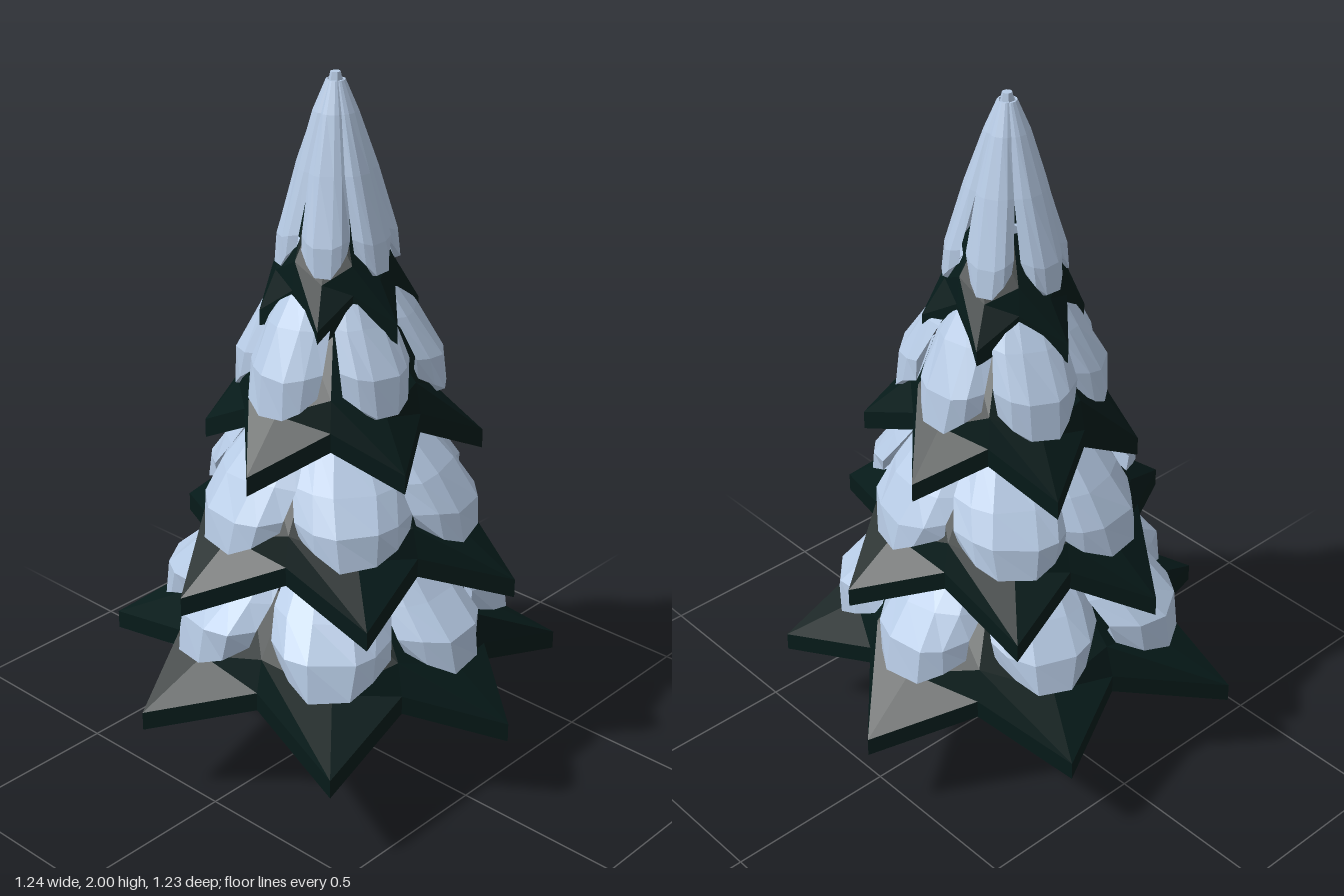
import * as THREE from 'three';

const needles = new THREE.MeshStandardMaterial({ color: 0x061a19 });
needles.name = 'dark green needles';
const snow = new THREE.MeshStandardMaterial({ color: 0xb6cae4 });
snow.name = 'pale blue snow';

// Tiers from bottom to top: tips [x, z], tip and valley heights,
// valley and inner radii, and the centre line [r, y] of the snow lobes
const TIERS = [
  {
    tips: [[-0.55, -0.265], [-0.1, -0.615], [0.415, -0.5], [0.62, -0.025], [0.44, 0.5], [-0.16, 0.615], [-0.62, 0.29]],
    tipY: 0.28, valley: [0.44, 0.37], inner: [0.28, 0.6],
    snow: [[0.46, 0.395], [0.49, 0.405], [0.475, 0.51], [0.395, 0.6], [0.285, 0.7], [0.14, 0.84]],
  },
  {
    tips: [[-0.4, -0.33], [0.09, -0.51], [0.52, -0.16], [0.41, 0.325], [-0.08, 0.53], [-0.51, 0.085]],
    tipY: 0.64, valley: [0.37, 0.74], inner: [0.23, 0.95],
    snow: [[0.38, 0.74], [0.405, 0.75], [0.395, 0.845], [0.33, 0.94], [0.235, 1.05], [0.1, 1.18]],
  },
  {
    tips: [[-0.36, -0.15], [-0.04, -0.38], [0.32, -0.25], [0.35, 0.11], [0.05, 0.4], [-0.29, 0.22]],
    tipY: 1.0, valley: [0.27, 1.1], inner: [0.14, 1.32],
    snow: [[0.27, 1.115], [0.292, 1.125], [0.28, 1.235], [0.21, 1.36], [0.145, 1.46], [0.06, 1.6]],
  },
  {
    tips: [[-0.235, 0.0], [-0.1, -0.2], [0.14, -0.18], [0.23, 0.01], [0.11, 0.19], [-0.11, 0.18]],
    tipY: 1.365, valley: [0.165, 1.445], inner: [0.08, 1.64],
    snow: [[0.155, 1.475], [0.17, 1.485], [0.163, 1.57], [0.11, 1.75], [0.06, 1.9], [0.026, 1.98]],
  },
];

let seed = 7;
const jitter = (size) => {
  seed = (seed * 16807) % 2147483647;
  return (seed / 2147483647 - 0.5) * 2 * size;
};

// Faceted surface through closed rings; either looped into a band or capped
function loft(rings, looped) {
  const pos = [];
  const tri = (...pts) => pts.forEach((p) => pos.push(...p));
  const n = rings[0].length;
  const count = looped ? rings.length : rings.length - 1;
  for (let j = 0; j < count; j++) {
    const lo = rings[j], hi = rings[(j + 1) % rings.length];
    for (let i = 0; i < n; i++) {
      const k = (i + 1) % n;
      tri(lo[i], hi[i], hi[k]);
      tri(lo[i], hi[k], lo[k]);
    }
  }
  if (!looped) {
    const first = rings[0], last = rings[rings.length - 1];
    for (let i = 1; i < n - 1; i++) {
      tri(first[0], first[i], first[i + 1]);
      tri(last[0], last[i + 1], last[i]);
    }
  }
  const geo = new THREE.BufferGeometry();
  geo.setAttribute('position', new THREE.Float32BufferAttribute(pos, 3));
  geo.computeVertexNormals();
  return geo;
}

// Star-shaped skirt of branches with a thick rim
function branchSkirt({ tips, tipY, valley: [rv, yv], inner: [ri, yi] }) {
  const thick = 0.055;
  const polar = tips.map(([x, z]) => ({ a: Math.atan2(z, x), r: Math.hypot(x, z) }));
  // each ring alternates tip column and valley column
  const ring = (tipAt, [vr, vy], drop) => polar.flatMap((p, i) => {
    let next = polar[(i + 1) % polar.length].a;
    if (next < p.a) next += Math.PI * 2;
    const mid = (p.a + next) / 2;
    const [tr, ty] = tipAt(p.r);
    return [
      [tr * Math.cos(p.a), ty - drop, tr * Math.sin(p.a)],
      [vr * Math.cos(mid), vy - drop, vr * Math.sin(mid)],
    ];
  });
  const outer = (drop) => ring((r) => [r, tipY], [rv, yv], drop);
  const middle = (drop) => ring(() => [rv, yv + 0.03], [rv * 0.94, yv + (yi - yv) * 0.4], drop);
  const top = (drop) => ring(() => [ri, yi], [ri, yi], drop);
  return loft([top(thick), middle(thick), outer(thick), outer(0), middle(0), top(0)], true);
}

// One rounded snow lobe lying along a branch at angle a; size swells its lower end
function snowLobe(profile, a, lobes, size) {
  const across = [-1, -0.74, -0.36, 0.36, 0.74, 1];
  const spread = 0.7 * Math.tan(Math.PI / lobes);
  const ca = Math.cos(a), sa = Math.sin(a);
  const widths = [0.85, 0.9, 1, 1.15, 1.2, 1.25];
  const lifts = [0.1, 0.07, 0.02, 0, 0, 0];
  const rings = profile.map(([r0, y], j) => across.map((u) => {
    const r = j < 4 ? r0 * size : r0;
    const noise = j < 4 ? 0.018 * r : 0;
    const lat = u * spread * r * widths[j] + jitter(noise);
    const rad = r * (1 - 0.24 * Math.abs(u) ** 3) + jitter(noise);
    const h = y + lifts[j] * u * u + jitter(noise);
    return [ca * rad - sa * lat, h, sa * rad + ca * lat];
  }));
  return loft(rings, false);
}

export function createModel() {
  const tree = new THREE.Group();
  tree.name = 'snowyTree';
  const add = (parent, name, geo, mat) => {
    const mesh = new THREE.Mesh(geo, mat);
    mesh.name = name;
    parent.add(mesh);
    return mesh;
  };

  // Trunk
  const trunkGeo = new THREE.CylinderGeometry(0.035, 0.06, 1.3, 8).toNonIndexed();
  trunkGeo.computeVertexNormals();
  add(tree, 'trunk', trunkGeo, needles).position.y = 0.65;

  // Tiers of branches with snow on every branch
  TIERS.forEach((tier, t) => {
    const group = new THREE.Group();
    group.name = `tier${t + 1}`;
    add(group, 'branches', branchSkirt(tier), needles);
    const count = tier.tips.length;
    const mean = tier.tips.reduce((sum, [x, z]) => sum + Math.hypot(x, z), 0) / count;
    tier.tips.forEach(([x, z], i) => {
      const size = 1 + 0.8 * (Math.hypot(x, z) / mean - 1);
      const lobe = snowLobe(tier.snow, Math.atan2(z, x), count, size);
      add(group, `snowLobe${i + 1}`, lobe, snow);
    });
    tree.add(group);
  });

  // Snowy peak
  const peak = new THREE.CylinderGeometry(0.014, 0.026, 0.06, 6).toNonIndexed();
  peak.computeVertexNormals();
  add(tree, 'peak', peak, snow).position.y = 1.97;

  return tree;
}
